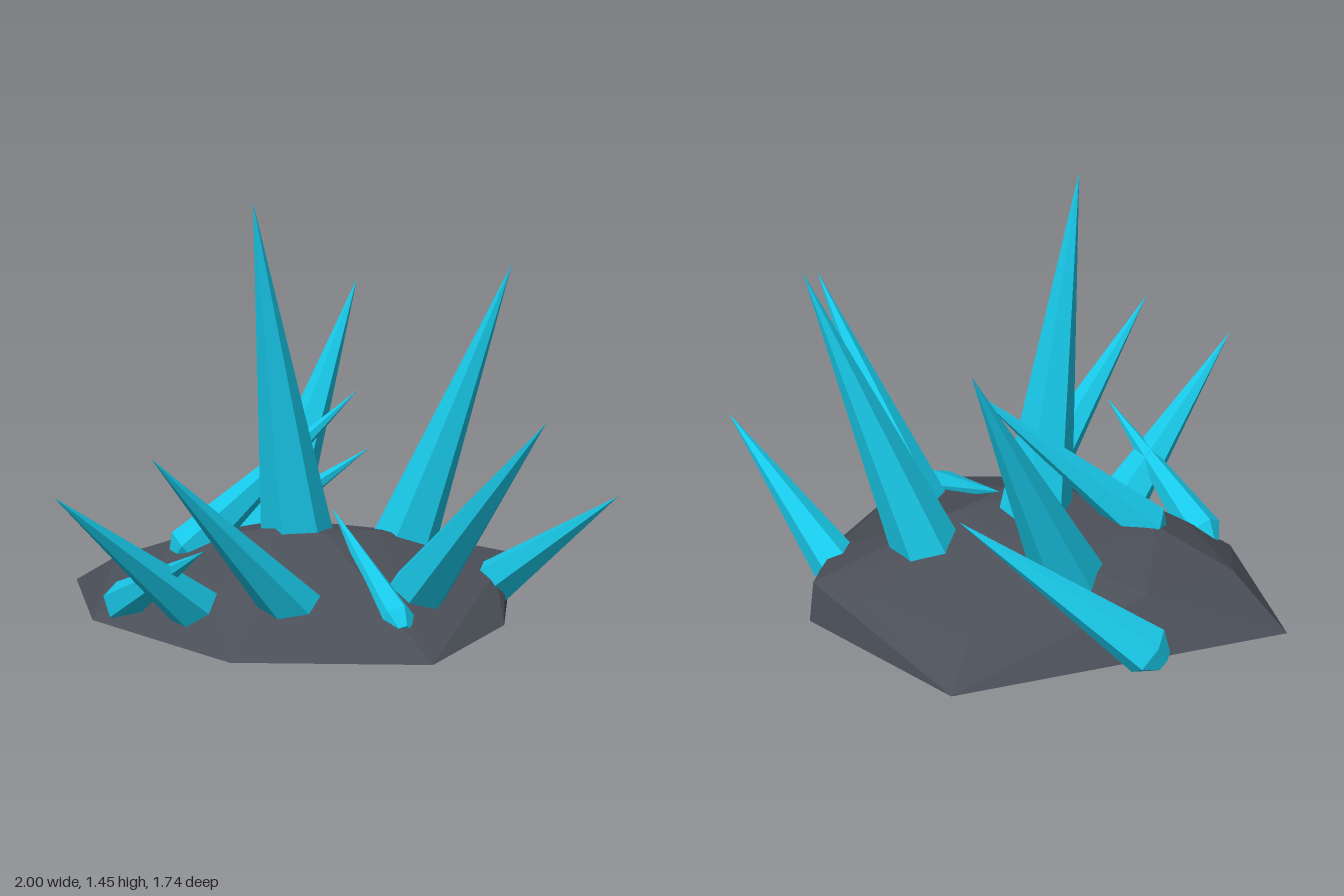
import * as THREE from 'three';
import { ConvexGeometry } from 'three/addons/geometries/ConvexGeometry.js';

const V = (a) => new THREE.Vector3(a[0], a[1], a[2]);

// Six-sided crystal: needle point, wide ring, short tapered root
function crystalGeometry(length, radius) {
  const tail = 0.06;
  const profile = [
    [0, -tail], [radius * 0.45, -tail], [radius, 0], [0, length],
  ].map(([x, y]) => new THREE.Vector2(x, y));
  const geometry = new THREE.LatheGeometry(profile, 6).toNonIndexed();
  geometry.computeVertexNormals();
  return geometry;
}

export function createModel() {
  const model = new THREE.Group();
  model.name = 'crystalCluster';

  const stone = new THREE.MeshStandardMaterial({ color: 0x4b4f58 });
  stone.name = 'darkStone';
  const crystal = new THREE.MeshStandardMaterial({ color: 0x18c8e8 });
  crystal.name = 'cyanCrystal';

  // Faceted rock mound with a flat underside
  const rim = [
    [-1, -0.16], [-0.1, -0.87], [0.5, -0.64], [0.63, -0.16],
    [0.56, 0.37], [-0.04, 0.59], [-0.68, 0.31],
  ].map(([x, z]) => [x, 0.05, z]);
  const shoulder = [
    [-0.78, 0.18, -0.05], [-0.58, 0.22, -0.35], [-0.1, 0.16, -0.72],
    [0.29, 0.195, -0.66], [0.49, 0.19, -0.62], [0.53, 0.17, -0.38],
    [-0.05, 0.2, 0.31], [-0.22, 0.2, 0.31], [-0.55, 0.18, 0.2],
  ];
  const crown = [
    [-0.5, 0.285, -0.03], [-0.25, 0.3, -0.35], [0.14, 0.28, -0.42],
    [0.14, 0.32, -0.23], [0.03, 0.335, -0.05], [-0.14, 0.35, 0.0],
  ];
  const rock = new THREE.Mesh(new ConvexGeometry([...rim, ...shoulder, ...crown].map(V)), stone);
  rock.name = 'rockBase';
  model.add(rock);

  // Crystals: tip, root centre, root radius
  const spikes = [
    [[-0.17, 1.46, 0.1], [-0.1, 0.25, -0.12], 0.132],   // tall centre
    [[0.54, 1.235, -0.48], [0.175, 0.2, -0.365], 0.122], // back left
    [[-0.14, 1.13, -0.77], [-0.31, 0.21, -0.34], 0.12], // back right
    [[0.905, 0.84, 0.35], [0.33, 0.12, -0.03], 0.11],   // left
    [[1.0, 0.515, -0.195], [0.46, 0.085, -0.42], 0.093], // far left
    [[-0.03, 0.53, -0.62], [-0.62, 0.095, -0.48], 0.087], // far right
    [[-0.13, 0.4, 0.58], [-0.585, 0.11, 0.265], 0.075], // front right, low
    [[-0.5, 0.6, 0.87], [-0.25, 0.09, 0.29], 0.098],    // front right
    [[-0.2, 0.73, 0.8], [0.07, 0.095, 0.22], 0.103],    // front
    [[0.0, 0.395, -0.18], [0.38, 0.135, 0.21], 0.06],   // inward leaning
    [[0.06, 0.8, -0.26], [-0.46, 0.25, 0.01], 0.085],   // centre right
  ];
  const crystals = new THREE.Group();
  crystals.name = 'crystals';
  const up = new THREE.Vector3(0, 1, 0);
  spikes.forEach(([tip, root, radius], i) => {
    const axis = V(tip).sub(V(root));
    const mesh = new THREE.Mesh(crystalGeometry(axis.length(), radius), crystal);
    mesh.name = `crystalSpike${i + 1}`;
    mesh.position.copy(V(root));
    mesh.quaternion.setFromUnitVectors(up, axis.normalize());
    crystals.add(mesh);
  });
  model.add(crystals);

  return model;
}
